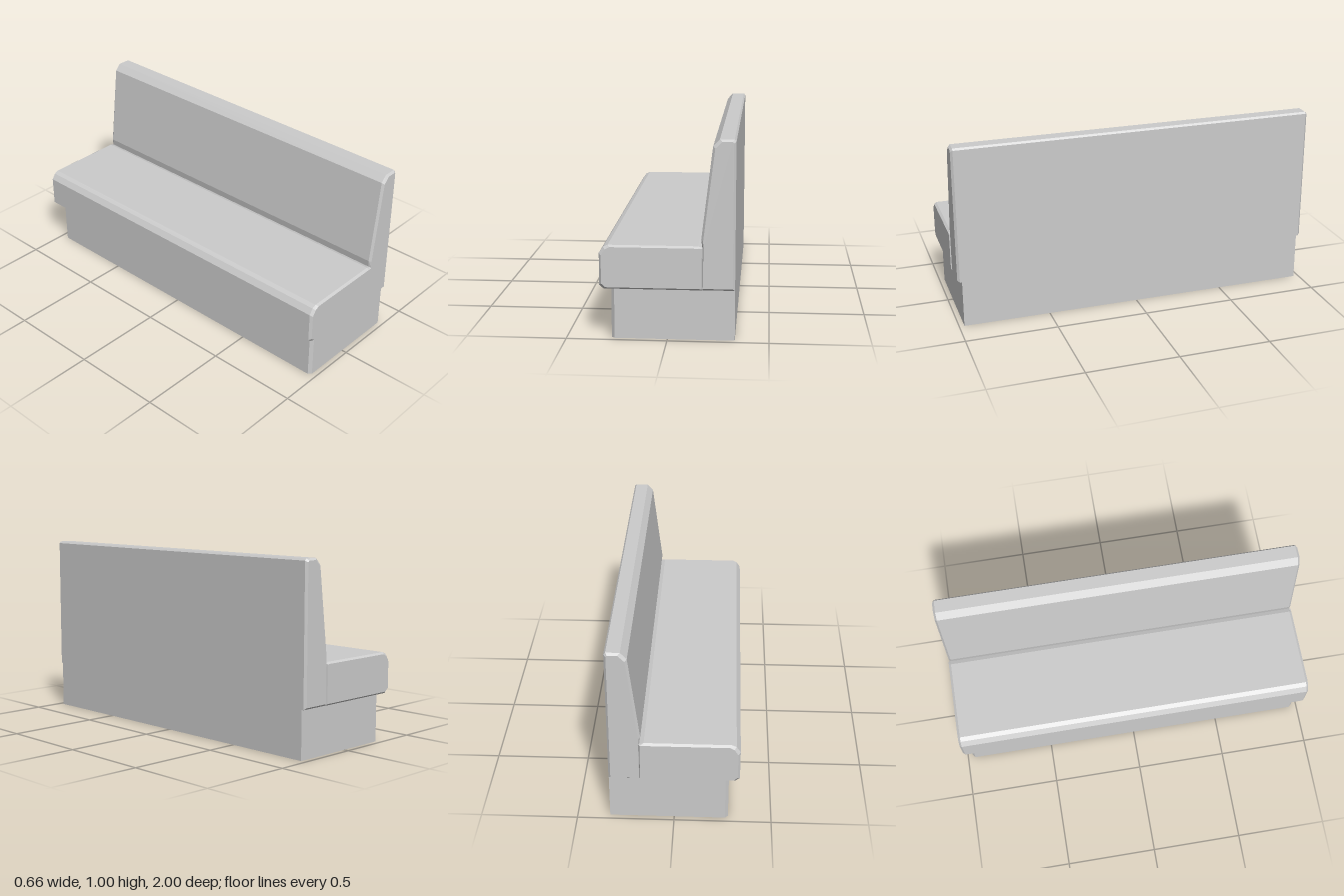
import * as THREE from 'three';

const material = new THREE.MeshStandardMaterial({ color: 0xcccccc, flatShading: true });

// Long body along z: outer profile along its length, inset profile on both end caps.
// Profiles run counter-clockwise in the x-y plane and match point for point.
function bevelledBody(name, outer, inner, zBevel, zEnd) {
  const rings = [[inner, -zEnd], [outer, -zBevel], [outer, zBevel], [inner, zEnd]];
  const n = outer.length;
  const positions = [];
  const put = (r, i) => positions.push(rings[r][0][i % n][0], rings[r][0][i % n][1], rings[r][1]);
  for (let r = 0; r < 3; r++) {
    for (let i = 0; i < n; i++) {
      put(r, i); put(r, i + 1); put(r + 1, i + 1);
      put(r, i); put(r + 1, i + 1); put(r + 1, i);
    }
  }
  // End caps
  const points = inner.map(([x, y]) => new THREE.Vector2(x, y));
  for (const [a, b, c] of THREE.ShapeUtils.triangulateShape(points, [])) {
    put(3, a); put(3, b); put(3, c);
    put(0, c); put(0, b); put(0, a);
  }
  const geometry = new THREE.BufferGeometry();
  geometry.setAttribute('position', new THREE.Float32BufferAttribute(positions, 3));
  geometry.computeVertexNormals();
  const mesh = new THREE.Mesh(geometry, material);
  mesh.name = name;
  return mesh;
}

export function createModel() {
  const group = new THREE.Group();
  group.name = 'boothBench';

  // Plinth with chamfered front corners
  group.add(bevelledBody('base',
    [[-0.278, 0], [0.332, 0], [0.332, 0.258], [-0.278, 0.258]],
    [[-0.262, 0], [0.332, 0], [0.332, 0.258], [-0.262, 0.258]],
    0.956, 0.972));

  // Seat cushion
  group.add(bevelledBody('seat',
    [[-0.311, 0.257], [0.175, 0.257], [0.175, 0.47], [0.15, 0.478], [-0.289, 0.478],
      [-0.312, 0.467], [-0.333, 0.436], [-0.333, 0.275]],
    [[-0.301, 0.267], [0.17, 0.267], [0.17, 0.468], [0.15, 0.469], [-0.28, 0.469],
      [-0.302, 0.457], [-0.322, 0.426], [-0.322, 0.285]],
    0.987, 1));

  // Tapered backrest
  group.add(bevelledBody('backrest',
    [[0.17, 0.257], [0.332, 0.257], [0.332, 0.99], [0.323, 1], [0.253, 1],
      [0.221, 0.966], [0.166, 0.51], [0.172, 0.47]],
    [[0.175, 0.267], [0.321, 0.267], [0.321, 0.982], [0.315, 0.99], [0.265, 0.99],
      [0.232, 0.957], [0.176, 0.505], [0.178, 0.47]],
    0.983, 0.995));

  return group;
}
